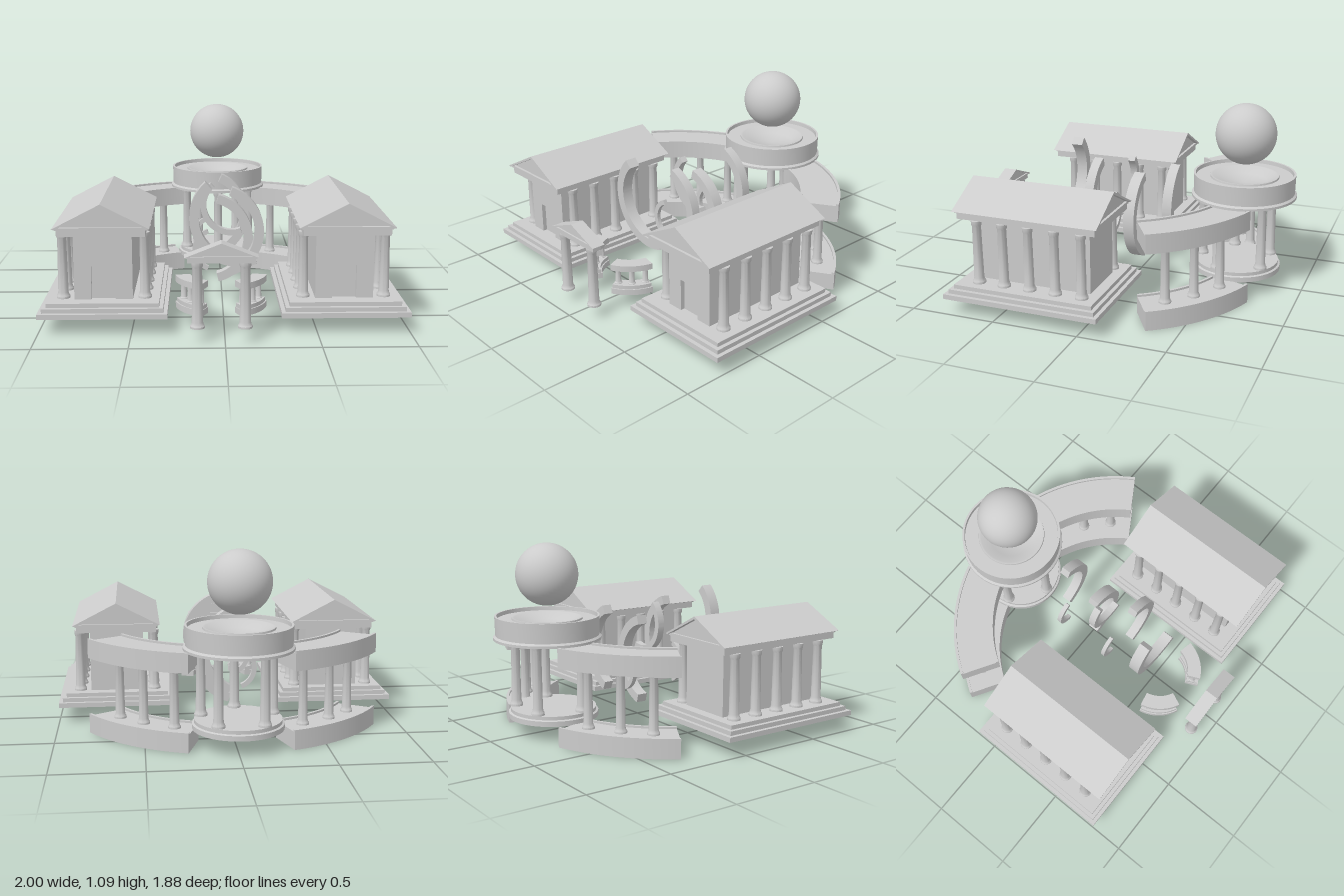
import * as THREE from 'three';
import { toCreasedNormals } from 'three/addons/utils/BufferGeometryUtils.js';

const stone = new THREE.MeshStandardMaterial({ color: 0xcccccc });
const CX = -0.015; // axis of the central group
const rad = THREE.MathUtils.degToRad;

function add(parent, name, geo, x = 0, y = 0, z = 0) {
  const mesh = new THREE.Mesh(geo, stone);
  mesh.name = name;
  mesh.position.set(x, y, z);
  parent.add(mesh);
  return mesh;
}

function group(parent, name, x = 0, y = 0, z = 0) {
  const g = new THREE.Group();
  g.name = name;
  g.position.set(x, y, z);
  parent.add(g);
  return g;
}

const lathe = (pts, seg = 48) =>
  toCreasedNormals(new THREE.LatheGeometry(pts.map(p => new THREE.Vector2(...p)), seg), 0.6);

// Box standing on its base
const block = (w, h, d) => new THREE.BoxGeometry(w, h, d).translate(0, h / 2, 0);

// Tapered column with a flared foot and capital
const column = (r, h) => lathe([[0, 0], [1, 0], [1, 0.03], [0.87, 0.05], [0.76, 0.09],
  [0.66, 0.91], [0.78, 0.94], [0.8, 1], [0, 1]].map(([a, b]) => [a * r, b * h]), 20);

// Segment of a flat ring in the xy plane, extruded along z
function ringSegment(r0, r1, a0, a1, depth) {
  const s = new THREE.Shape();
  s.absarc(0, 0, r1, rad(a0), rad(a1), false);
  s.absarc(0, 0, r0, rad(a1), rad(a0), true);
  s.closePath();
  const g = new THREE.ExtrudeGeometry(s, { depth, bevelEnabled: false, curveSegments: 32 });
  return toCreasedNormals(g, 0.5);
}

// Same segment lying down, rising from y = 0 (positive angles turn to -z)
const lyingSegment = (...a) => ringSegment(...a).rotateX(-Math.PI / 2);

const polygon = pts => new THREE.Shape(pts.map(p => new THREE.Vector2(...p)));
const prism = (shape, depth) =>
  new THREE.ExtrudeGeometry(shape, { depth, bevelEnabled: false }).translate(0, 0, -depth / 2);

const rectangle = (w, d) => [[-w, -d], [w, -d], [w, d], [-w, d]].map(([x, y]) => [x / 2, y / 2]);

// Flat rectangular frame lying on y = 0
function frame(w, h, d, border) {
  const s = polygon(rectangle(w, d));
  s.holes.push(polygon(rectangle(w - border * 2, d - border * 2)));
  return prism(s, h).rotateX(-Math.PI / 2).translate(0, h / 2, 0);
}

// Gable roof: pediment body plus a thin overhanging chevron
function gable(parent, w, y0, yEave, yPeak, depth, t) {
  const b = w - t, d = depth - t * 1.5;
  add(parent, 'entablature', block(b * 2 - t, yEave - y0 - t, d - t), 0, y0);
  add(parent, 'cornice', block(b * 2, t, d), 0, yEave - t);
  add(parent, 'pediment', prism(polygon([[-b, yEave], [b, yEave], [0, yPeak - t]]), d - t * 2));
  add(parent, 'roof', prism(polygon([[-w, yEave - t * 0.3], [-w + t, yEave - t * 0.6],
    [0, yPeak - t], [w - t, yEave - t * 0.6], [w, yEave - t * 0.3], [0, yPeak]]), depth));
}

function temple(parent, x) {
  const t = group(parent, 'temple', x, 0.09, 0.345);
  // Stepped base, hollow underneath
  add(t, 'bottomStep', frame(0.695, 0.028, 0.914, 0.05), 0, 0);
  add(t, 'middleStep', frame(0.65, 0.024, 0.869, 0.045), 0, 0.028);
  add(t, 'floor', block(0.605, 0.023, 0.824), 0, 0.052);
  // Inner hall with a recessed doorway
  const wall = polygon([[-0.158, 0.075], [-0.065, 0.075], [-0.065, 0.258], [0.065, 0.258],
    [0.065, 0.075], [0.158, 0.075], [0.158, 0.445], [-0.158, 0.445]]);
  add(t, 'hall', block(0.316, 0.37, 0.66), 0, 0.075, -0.02);
  add(t, 'frontWall', prism(wall, 0.025), 0, 0, 0.3225);
  for (const side of [-1, 1])
    for (let i = 0; i < 5; i++)
      add(t, 'column', column(0.037, 0.366), side * 0.222, 0.075, 0.295 - i * 0.155);
  gable(t, 0.257, 0.44, 0.49, 0.618, 0.857, 0.015);
}

// Curved walkway of two rimmed beams with columns between
function colonnade(parent, left) {
  const g = group(parent, 'colonnade', -0.02, 0, 0.19);
  const turn = a => (left ? 180 - a : a);
  const [a0, a1] = left ? [turn(72.8), turn(31.5)] : [31.5, 72.8];
  for (const y of [0, 0.44]) {
    add(g, 'beam', lyingSegment(0.742, 0.975, a0, a1, 0.1), 0, y);
    add(g, 'outerRim', lyingSegment(0.959, 0.975, a0, a1, 0.012), 0, y + 0.1);
    add(g, 'innerRim', lyingSegment(0.742, 0.758, a0, a1, 0.012), 0, y + 0.1);
  }
  for (const a of [40.5, 52.5, 65.5]) {
    const r = rad(turn(a));
    add(g, 'column', column(0.035, 0.342), 0.86 * Math.cos(r), 0.1, -0.86 * Math.sin(r));
  }
}

function rotunda(parent) {
  const g = group(parent, 'rotunda', CX, 0, -0.6);
  add(g, 'base', lathe([[0, 0.096], [0.257, 0.096], [0.257, 0.125], [0.245, 0.13],
    [0.245, 0.15], [0, 0.15]]));
  for (let i = 0; i < 5; i++) {
    const a = i * Math.PI * 0.4;
    add(g, 'column', column(0.037, 0.4), 0.213 * Math.sin(a), 0.15, 0.213 * Math.cos(a));
  }
  // Drum with a thin raised rim and a shallow bowl
  add(g, 'drum', lathe([[0, 0.548], [0.305, 0.548], [0.305, 0.562], [0.293, 0.572], [0.296, 0.682],
    [0.284, 0.682], [0.282, 0.66], [0.2, 0.66], [0.198, 0.67], [0.185, 0.67], [0.13, 0.635],
    [0, 0.62]], 64), 0, 0, -0.032);
  add(g, 'sphere', new THREE.SphereGeometry(0.176, 48, 32), -0.004, 0.912, -0.032);
}

// Low curved balustrade
function balustrade(parent, left) {
  const g = group(parent, 'balustrade', CX, 0, 0.535);
  const [a0, a1] = left ? [191, 245.6] : [-65.6, -11];
  add(g, 'bottomRail', lyingSegment(0.175, 0.256, a0, a1, 0.034), 0, 0.09);
  add(g, 'bottomStep', lyingSegment(0.182, 0.249, a0 + 1, a1 - 1, 0.022), 0, 0.124);
  add(g, 'topRail', lyingSegment(0.175, 0.256, a0, a1, 0.035), 0, 0.238);
  for (const f of [0.12, 0.5, 0.88]) {
    const a = rad(a0 + (a1 - a0) * f);
    add(g, 'baluster', column(0.022, 0.092), 0.215 * Math.cos(a), 0.146, -0.215 * Math.sin(a));
  }
}

function gate(parent) {
  const g = group(parent, 'gate', -0.02, 0, 0.9);
  for (const x of [-0.125, 0.125]) add(g, 'column', column(0.039, 0.355), x, 0.077);
  gable(g, 0.192, 0.43, 0.465, 0.538, 0.08, 0.01);
}

// Floating ring fragments: x, y, z, inner and outer radius, angles, depth
const fragments = [
  [-0.107, 0.44, -0.217, 0.225, 0.278, -66, 66, 0.057],
  [-0.09, 0.343, 0.017, 0.225, 0.278, -75, 75, 0.066],
  [-0.038, 0.44, 0.252, 0.225, 0.278, -70, 70, 0.055],
  [0.088, 0.565, 0.453, 0.225, 0.278, 132.6, 291, 0.067],
  [0.055, 0.56, 0.085, 0.148, 0.183, 132.6, 291, 0.043],
  [-0.042, 0.318, -0.137, 0.106, 0.134, 111, 249, 0.027],
  [-0.042, 0.318, 0.21, 0.106, 0.134, 111, 249, 0.024],
];

export function createModel() {
  const model = new THREE.Group();
  model.name = 'templeComplex';
  temple(model, -0.653);
  temple(model, 0.653);
  for (const left of [true, false]) {
    colonnade(model, left);
    balustrade(model, left);
  }
  rotunda(model);
  gate(model);
  for (const [x, y, z, r0, r1, a0, a1, d] of fragments)
    add(model, 'ringFragment', ringSegment(r0, r1, a0, a1, d), x, y, z - d / 2);
  return model;
}
